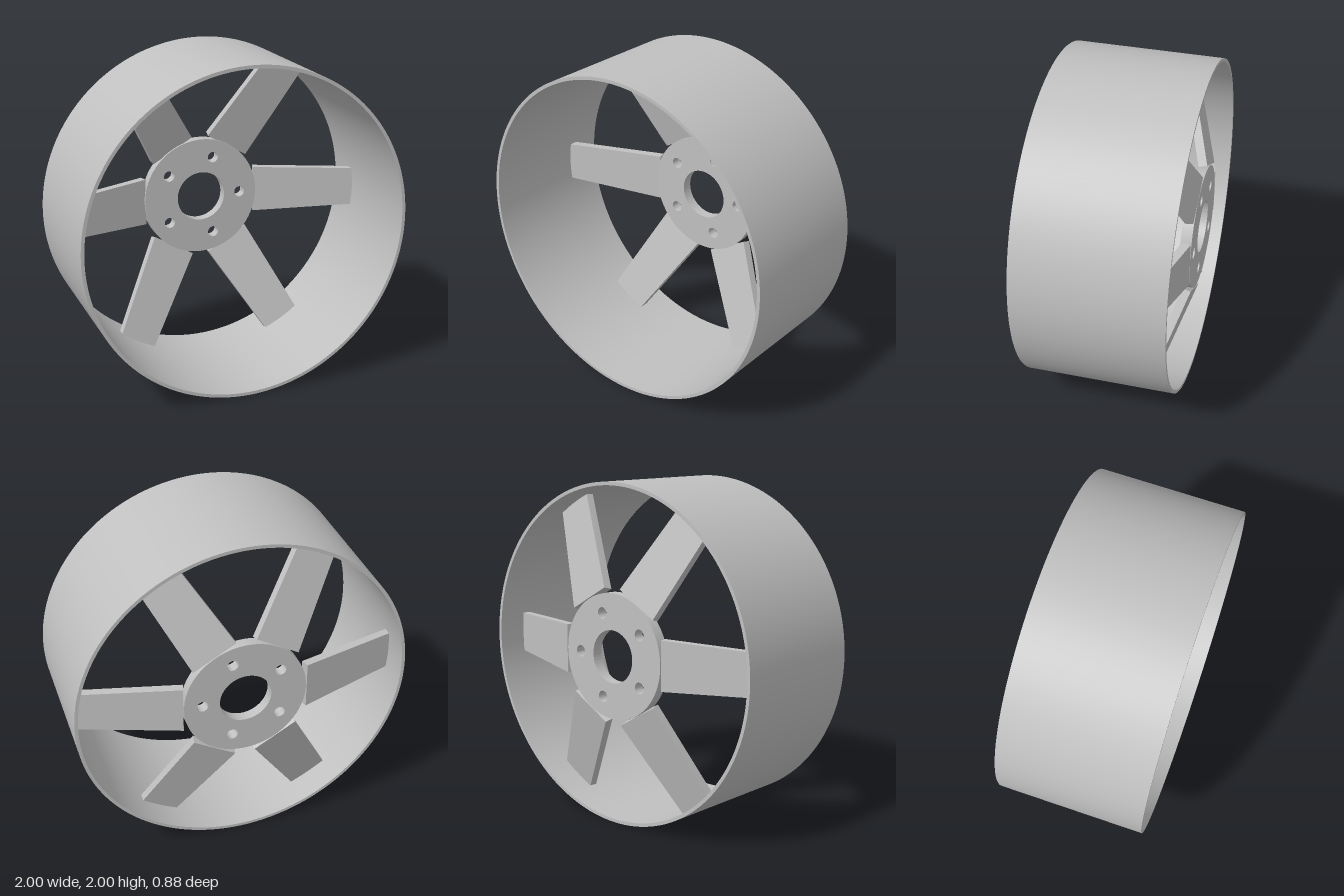
import * as THREE from 'three';
import { toCreasedNormals } from 'three/addons/utils/BufferGeometryUtils.js';

const HALF_WIDTH = 0.44;

function circle(PathType, x, y, r) {
  const path = new PathType();
  path.absarc(x, y, r, 0, Math.PI * 2, false);
  return path;
}

// Round plate with circular holes, extruded forward from z = back
function plate(radius, holes, back, depth, segments) {
  const shape = circle(THREE.Shape, 0, 0, radius);
  for (const [x, y, r] of holes) shape.holes.push(circle(THREE.Path, x, y, r));
  const geo = new THREE.ExtrudeGeometry(shape, { depth, bevelEnabled: false, curveSegments: segments });
  geo.translate(0, 0, back);
  return toCreasedNormals(geo, 0.6);
}

// Tapered flat spoke along +x, leaning forward toward the rim
function spokeGeometry() {
  const inner = 0.36, outer = 0.985, thickness = 0.05, slope = 0.295;
  const shape = new THREE.Shape([
    new THREE.Vector2(inner, -0.146), new THREE.Vector2(outer, -0.121),
    new THREE.Vector2(outer, 0.121), new THREE.Vector2(inner, 0.146),
  ]);
  const geo = new THREE.ExtrudeGeometry(shape, { depth: thickness, bevelEnabled: false });
  const pos = geo.attributes.position;
  for (let i = 0; i < pos.count; i++) {
    const x = pos.getX(i), z = pos.getZ(i);
    // the inner end is cut square to the leaning face
    if (x < 0.5) pos.setX(i, x + (thickness - z) * slope);
    pos.setZ(i, z - HALF_WIDTH + (x - inner) * slope);
  }
  geo.computeVertexNormals();
  return geo;
}

export function createModel() {
  const metal = new THREE.MeshStandardMaterial({ color: 0xc0c0c0 });
  metal.name = 'light grey metal';

  const wheel = new THREE.Group();
  wheel.name = 'wheel';
  const add = (name, geo) => {
    const mesh = new THREE.Mesh(geo, metal);
    mesh.name = name;
    mesh.position.y = 1;
    wheel.add(mesh);
    return mesh;
  };

  // Thin wide rim
  add('rim', plate(1, [[0, 0, 0.98]], -HALF_WIDTH, HALF_WIDTH * 2, 120));

  // Hub disc at the back with centre bore and five bolt holes
  const holes = [[0, 0, 0.156]];
  for (let i = 0; i < 5; i++) {
    const a = (i * Math.PI * 2) / 5;
    holes.push([0.26 * Math.cos(a), 0.26 * Math.sin(a), 0.034]);
  }
  add('hub', plate(0.37, holes, -HALF_WIDTH, 0.065, 64));

  // Six spokes
  const spoke = spokeGeometry();
  for (let i = 0; i < 6; i++) add('spoke' + (i + 1), spoke).rotation.z = (i * Math.PI) / 3;

  return wheel;
}
